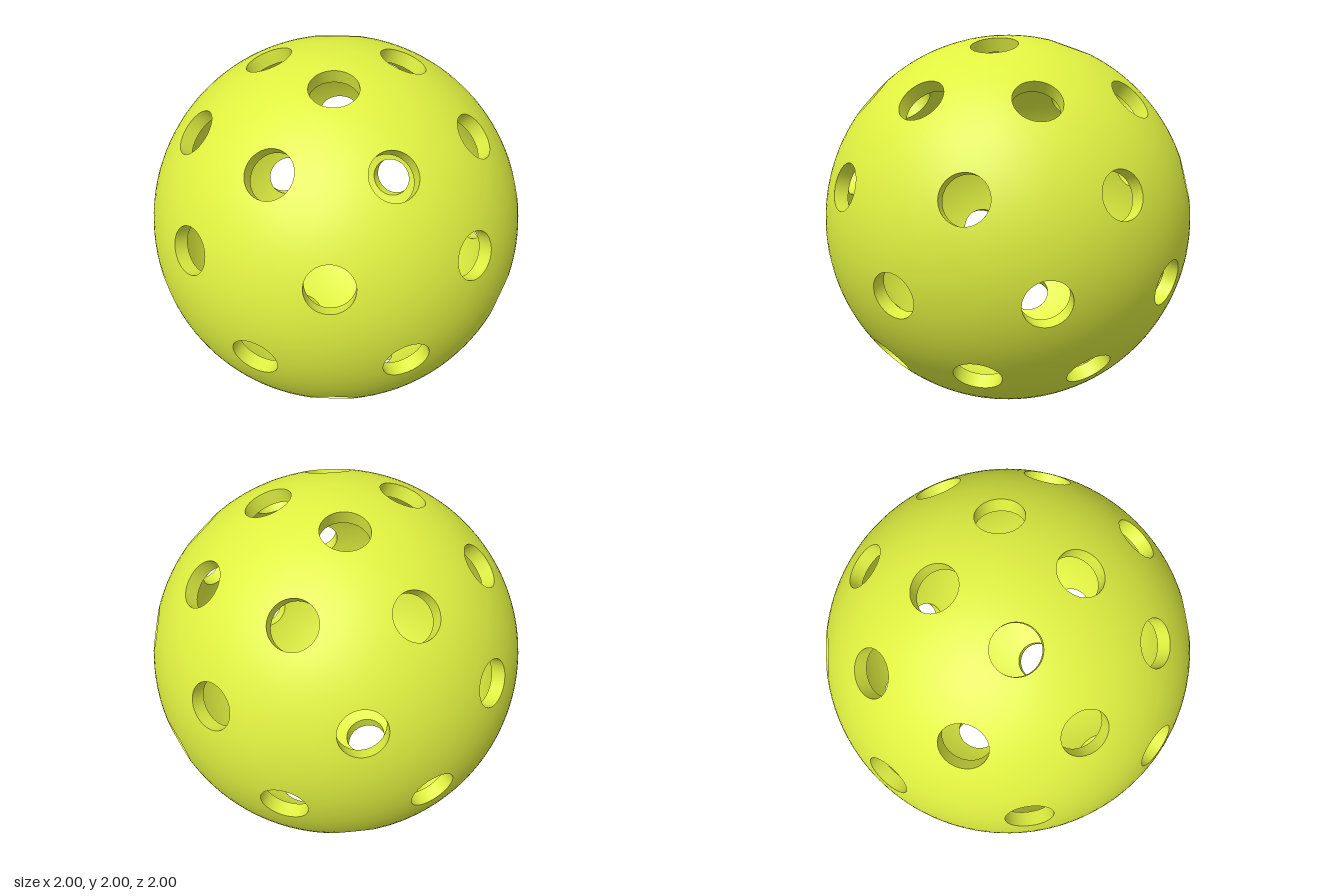
import * as THREE from 'three';
import { ConvexGeometry } from 'three/addons/geometries/ConvexGeometry.js';

const OUTER = 1, INNER = 0.926, HOLE = 0.122, SIDES = 40, FILL = 5000;
// distance along a hole's axis to its outer and inner rim
const RIM_OUT = Math.sqrt(OUTER ** 2 - HOLE ** 2);
const RIM_IN = Math.sqrt(INNER ** 2 - HOLE ** 2);
const UP = new THREE.Vector3(0, 1, 0);

// Rings of holes: latitude, count, azimuth of the first (degrees from +z towards +x)
const RINGS = [
  [70.2, 4, 22.5], [42.2, 8, 0], [14, 8, 22.5],
  [-14, 8, 0], [-42.2, 8, 22.5], [-70.2, 4, -22.5],
];

function holeAxes() {
  const axes = [];
  for (const [lat, count, start] of RINGS) {
    for (let i = 0; i < count; i++) {
      const azimuth = THREE.MathUtils.degToRad(start + (360 / count) * i);
      axes.push(new THREE.Vector3().setFromSphericalCoords(1, THREE.MathUtils.degToRad(90 - lat), azimuth));
    }
  }
  return axes;
}

// Unit-sphere points: each hole's centre and rim, then an even spiral between the holes
function spherePoints(axes) {
  const points = [];
  for (const axis of axes) {
    const turn = new THREE.Quaternion().setFromUnitVectors(UP, axis);
    points.push(axis.clone());
    for (let i = 0; i < SIDES; i++) {
      const a = (i / SIDES) * Math.PI * 2;
      points.push(new THREE.Vector3(HOLE * Math.sin(a), RIM_OUT, HOLE * Math.cos(a)).applyQuaternion(turn));
    }
  }
  const golden = Math.PI * (3 - Math.sqrt(5));
  for (let i = 0; i < FILL; i++) {
    const p = new THREE.Vector3().setFromSphericalCoords(1, Math.acos(1 - (2 * i + 1) / FILL), i * golden);
    if (axes.every((axis) => axis.angleTo(p) > 0.15)) points.push(p);
  }
  return points;
}

function surface(positions, normals) {
  const geometry = new THREE.BufferGeometry();
  geometry.setAttribute('position', new THREE.Float32BufferAttribute(positions, 3));
  geometry.setAttribute('normal', new THREE.Float32BufferAttribute(normals, 3));
  return geometry;
}

// Skin of the sphere without the triangles that cap the holes, as outer and inner surfaces
function shellSurfaces(axes) {
  const skin = new ConvexGeometry(spherePoints(axes)).getAttribute('position');
  const outer = [], outerNormals = [], inner = [], innerNormals = [];
  for (let t = 0; t < skin.count; t += 3) {
    const corners = [0, 1, 2].map((k) => {
      const p = new THREE.Vector3().fromBufferAttribute(skin, t + k);
      const axis = axes.find((a) => a.distanceTo(p) < 0.135);
      return { p, axis, centre: axis && axis.distanceTo(p) < 0.01 };
    });
    if (corners.some((c) => c.centre)) continue;
    for (const { p } of corners) {
      outer.push(...p.toArray());
      outerNormals.push(...p.toArray());
    }
    // reversed corners; rim points slide straight down the hole
    for (const { p, axis } of corners.reverse()) {
      const q = axis ? p.clone().addScaledVector(axis, RIM_IN - RIM_OUT) : p.clone().multiplyScalar(INNER);
      inner.push(...q.toArray());
      innerNormals.push(...q.normalize().negate().toArray());
    }
  }
  return [surface(outer, outerNormals), surface(inner, innerNormals)];
}

export function createModel() {
  const group = new THREE.Group();
  group.name = 'perforatedBall';
  const material = new THREE.MeshStandardMaterial({ color: 0xdff040 });
  const wallMaterial = new THREE.MeshStandardMaterial({ color: 0xdff040, side: THREE.DoubleSide });
  const axes = holeAxes();

  // Hollow shell
  const [outer, inner] = shellSurfaces(axes);
  const outerShell = new THREE.Mesh(outer, material);
  outerShell.name = 'outerShell';
  const innerShell = new THREE.Mesh(inner, material);
  innerShell.name = 'innerShell';
  group.add(outerShell, innerShell);

  // Straight walls of the drilled holes
  const wall = new THREE.CylinderGeometry(HOLE, HOLE, RIM_OUT - RIM_IN, SIDES, 1, true);
  for (const axis of axes) {
    const mesh = new THREE.Mesh(wall, wallMaterial);
    mesh.name = 'holeWall';
    mesh.quaternion.setFromUnitVectors(UP, axis);
    mesh.position.copy(axis).multiplyScalar((RIM_OUT + RIM_IN) / 2);
    group.add(mesh);
  }

  group.position.y = OUTER;
  return group;
}
